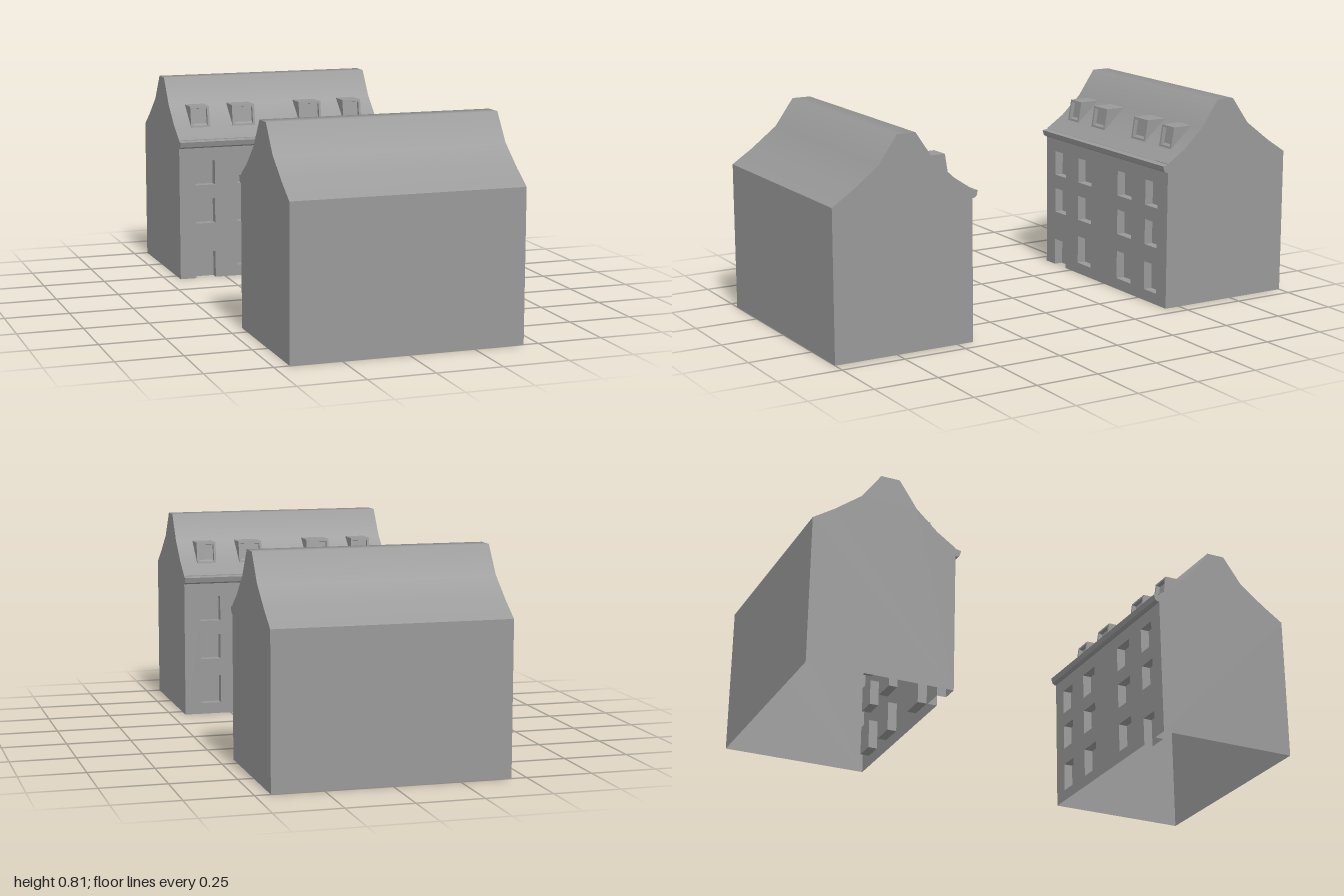
import * as THREE from 'three';

const mat = new THREE.MeshStandardMaterial({ color: 0x999999, side: THREE.DoubleSide });
const HALF = 0.442, FRONT = -0.435, BACK = -1, EAVE = 0.575, REVEAL = 0.036;

// roof line as [z, y], from the front eave over the ridge to the back eave
const ROOF = [[-0.435, 0.58], [-0.51, 0.63], [-0.595, 0.708], [-0.666, 0.812],
  [-0.74, 0.812], [-0.815, 0.708], [-0.917, 0.63], [BACK, EAVE]];

const COLUMNS = [[-0.333, 0.083], [-0.146, 0.1], [0.146, 0.1], [0.333, 0.083]]; // centre x, width
const ROWS = [[0.045, 0.16], [0.23, 0.332], [0.39, 0.492]]; // bottom, top

function add(parent, name, geometry) {
  const mesh = new THREE.Mesh(geometry, mat);
  mesh.name = name;
  parent.add(mesh);
}

const toShape = (points) => new THREE.Shape(points.map(([a, b]) => new THREE.Vector2(a, b)));

// surface swept along x through [z, y] points, with smooth normals across the points
function strip(points, half, cx = 0) {
  const pos = [], normals = [], index = [];
  points.forEach(([z, y], i) => {
    const [z0, y0] = points[Math.max(i - 1, 0)];
    const [z1, y1] = points[Math.min(i + 1, points.length - 1)];
    const n = new THREE.Vector3(0, z0 - z1, y1 - y0).normalize();
    pos.push(cx - half, y, z, cx + half, y, z);
    normals.push(...n, ...n);
    const a = 2 * i;
    if (i < points.length - 1) index.push(a, a + 1, a + 3, a, a + 3, a + 2);
  });
  const g = new THREE.BufferGeometry();
  g.setAttribute('position', new THREE.Float32BufferAttribute(pos, 3));
  g.setAttribute('normal', new THREE.Float32BufferAttribute(normals, 3));
  g.setIndex(index);
  return g;
}

// flat upright side made from a [z, y] outline
function side(points, x) {
  return new THREE.ShapeGeometry(toShape(points)).rotateY(-Math.PI / 2).translate(x, 0, 0);
}

// box open at the front (and optionally below): reveals and pane behind an opening on z = 0
function recess(x, y0, y1, w, depth, hasSill = true) {
  const g = new THREE.BoxGeometry(w, y1 - y0, depth).translate(x, (y0 + y1) / 2, -depth / 2);
  const index = Array.from(g.index.array);
  index.splice(24, 6);
  if (!hasSill) index.splice(18, 6);
  // turn the faces inward
  for (let i = 0; i < index.length; i += 3) [index[i], index[i + 1]] = [index[i + 1], index[i]];
  g.attributes.normal.array.forEach((v, i, a) => { a[i] = -v; });
  g.setIndex(index);
  g.clearGroups();
  return g;
}

function rectHole(x, y0, y1, w) {
  const a = x - w / 2, b = x + w / 2;
  return new THREE.Path([[a, y0], [a, y1], [b, y1], [b, y0]].map((p) => new THREE.Vector2(...p)));
}

function makeFacade(doorSide) {
  const facade = new THREE.Group();
  facade.name = 'facade';
  facade.position.z = FRONT;

  // the low door is a notch in the wall's bottom edge
  const doorX = doorSide * 0.333, doorW = 0.083, doorH = 0.11;
  const wall = toShape([[-HALF, 0], [doorX - doorW / 2, 0], [doorX - doorW / 2, doorH],
    [doorX + doorW / 2, doorH], [doorX + doorW / 2, 0], [HALF, 0], [HALF, EAVE], [-HALF, EAVE]]);
  add(facade, 'door', recess(doorX, 0, doorH, doorW, REVEAL, false));

  // windows in rows and columns, none above the door on the ground floor
  for (const [x, w] of COLUMNS) {
    ROWS.forEach(([y0, y1], row) => {
      if (row === 0 && x === doorX) return;
      wall.holes.push(rectHole(x, y0, y1, w));
      add(facade, 'window', recess(x, y0, y1, w, REVEAL));
    });
  }
  add(facade, 'frontWall', new THREE.ShapeGeometry(wall));
  return facade;
}

function makeDormer(x, w) {
  const dormer = new THREE.Group();
  dormer.name = 'dormer';
  const low = [-0.496, 0.62], top = [-0.51, 0.706], rear = [-0.593, 0.706];
  for (const s of [-1, 1]) add(dormer, 'dormerSide', side([low, top, rear], x + s * w / 2));
  add(dormer, 'dormerRoof', strip([top, rear], w / 2, x));

  // leaning front frame with a set-back pane
  const h = Math.hypot(top[0] - low[0], top[1] - low[1]), b = 0.009;
  const frame = toShape([[-w / 2, 0], [w / 2, 0], [w / 2, h], [-w / 2, h]]);
  frame.holes.push(rectHole(0, b, h - b, w - 2 * b));
  const front = new THREE.Group();
  front.name = 'dormerFront';
  front.position.set(x, low[1], low[0]);
  front.rotation.x = Math.atan2(top[0] - low[0], top[1] - low[1]);
  add(front, 'dormerFrame', new THREE.ShapeGeometry(frame));
  add(front, 'dormerWindow', recess(0, b, h - b, w - 2 * b, 0.016));
  dormer.add(front);
  return dormer;
}

function makeHouse(name, doorSide) {
  const house = new THREE.Group();
  house.name = name;
  house.add(makeFacade(doorSide));
  add(house, 'backWall', strip([[BACK, EAVE], [BACK, 0]], HALF));
  add(house, 'roof', strip(ROOF, HALF));
  for (const s of [-1, 1]) {
    add(house, 'gable', side([[FRONT, 0], ...ROOF, [BACK, 0]], s * HALF));
  }

  // cornice along the front eave
  const cornice = toShape([[-0.437, 0.577], [-0.412, 0.573], [-0.418, 0.552], [-0.428, 0.546], [-0.437, 0.546]]);
  add(house, 'cornice', new THREE.ExtrudeGeometry(cornice, { depth: 2 * HALF, bevelEnabled: false })
    .rotateY(-Math.PI / 2).translate(HALF, 0, 0));

  for (const [x, w] of COLUMNS) house.add(makeDormer(x, w - 0.003));
  return house;
}

export function createModel() {
  const model = new THREE.Group();
  model.name = 'facingHouses';

  // two houses facing each other, both doors at the same end
  const frontHouse = makeHouse('frontHouse', 1);
  frontHouse.rotation.y = Math.PI;
  model.add(makeHouse('rearHouse', -1), frontHouse);
  return model;
}
